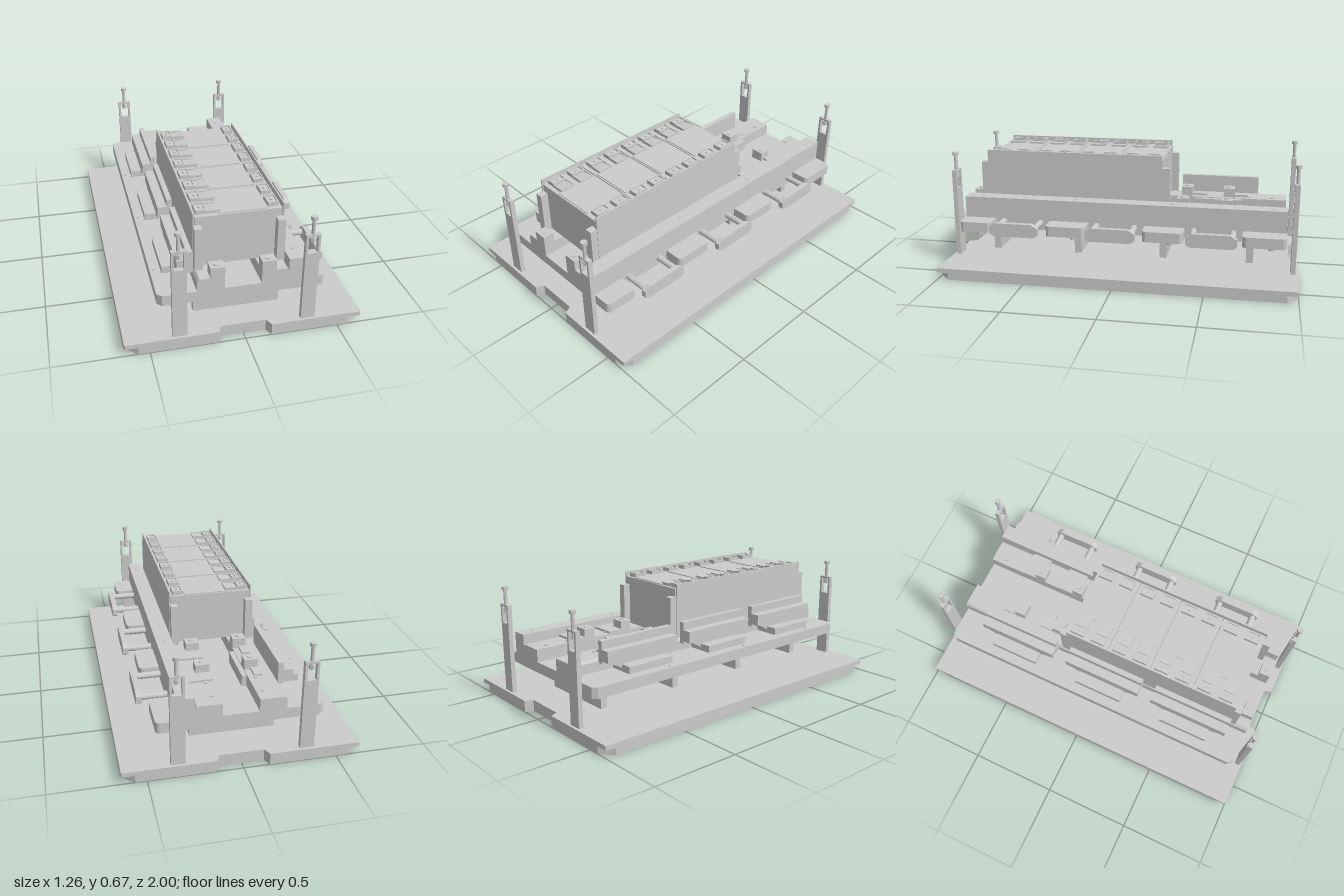
import * as THREE from 'three';

const mat = new THREE.MeshStandardMaterial({ color: 0xcccccc, flatShading: true, side: THREE.DoubleSide });

export function createModel() {
  const model = new THREE.Group();
  const add = (name, geo) => {
    const m = new THREE.Mesh(geo, mat);
    m.name = name;
    model.add(m);
    return m;
  };
  // Box given by its limits on each axis
  const box = (name, x0, x1, y0, y1, z0, z1) => {
    const m = add(name, new THREE.BoxGeometry(x1 - x0, y1 - y0, z1 - z0));
    m.position.set((x0 + x1) / 2, (y0 + y1) / 2, (z0 + z1) / 2);
    return m;
  };
  const shapeOf = (pts) => new THREE.Shape(pts.map(([a, b]) => new THREE.Vector2(a, b)));
  const extrude = (shape, depth) => new THREE.ExtrudeGeometry(shape, { depth, bevelEnabled: false, curveSegments: 8 });
  // Plan outline (x, -z) raised from y0 to y1
  const slab = (name, shape, y0, y1) => {
    const m = add(name, extrude(shape, y1 - y0).rotateX(-Math.PI / 2));
    m.position.y = y0;
    return m;
  };
  const rod = (name, r, h, x, y, z, sides = 16) => {
    const m = add(name, new THREE.CylinderGeometry(r, r, h, sides));
    m.position.set(x, y, z);
    return m;
  };
  const roundRect = (w, h, r) => {
    const s = new THREE.Shape(), a = w / 2, b = h / 2;
    s.moveTo(-a + r, -b).lineTo(a - r, -b);
    s.absarc(a - r, -b + r, r, -Math.PI / 2, 0).absarc(a - r, b - r, r, 0, Math.PI / 2);
    s.absarc(-a + r, b - r, r, Math.PI / 2, Math.PI).absarc(-a + r, -b + r, r, Math.PI, Math.PI * 1.5);
    return s;
  };

  // Base plate: end notches, undercut corners and nut pockets
  const baseShape = (cx, cz) => shapeOf([
    [-0.63 + cx, -1], [-0.14, -1], [-0.12, -0.955], [0.12, -0.955], [0.14, -1], [0.63 - cx, -1], [0.63, -1 + cz],
    [0.63, 1 - cz], [0.63 - cx, 1], [0.14, 1], [0.12, 0.955], [-0.12, 0.955], [-0.14, 1], [-0.63 + cx, 1],
    [-0.63, 1 - cz], [-0.63, -1 + cz]]);
  const lower = baseShape(0.07, 0.06);
  for (const x of [-0.24, 0.24]) for (const z of [-0.66, 0.66]) {
    const hole = new THREE.Path();
    hole.absarc(x, -z, 0.058, 0, Math.PI * 2);
    lower.holes.push(hole);
    rod('baseNut', 0.048, 0.034, x, 0.023, z, 6);
    rod('baseBolt', 0.022, 0.038, x, 0.021, z);
  }
  slab('basePlateLower', lower, 0, 0.04);
  slab('basePlateUpper', baseShape(0.004, 0.004), 0.04, 0.065);

  // Cross ribs carrying the bed
  for (const z of [-0.73, -0.23, 0.28, 0.78]) box('supportRib', -0.235, 0.235, 0.065, 0.225, z - 0.02, z + 0.02);

  // Bed plate and side rail
  slab('bedPlate', shapeOf([[-0.42, -0.93], [0.24, -0.93], [0.24, 0.93], [-0.42, 0.93], [-0.445, 0.905], [-0.445, -0.905]]), 0.225, 0.285);
  box('sideRail', 0.24, 0.33, 0.225, 0.408, -0.93, 0.93);
  for (const [z0, z1] of [[-0.93, -0.69], [-0.365, -0.135], [0.19, 0.42], [0.745, 0.93]]) {
    const pad = slab('railPad', roundRect(0.15, z1 - z0, 0.025), 0.225, 0.285);
    pad.position.set(0.365, 0.225, (z0 + z1) / 2);
  }
  for (const z of [-0.85, -0.29, 0.27, 0.83]) {
    rod('railPin', 0.012, 0.004, 0.285, 0.409, z, 6);
    rod('bedFoot', 0.02, 0.025, 0.38, 0.213, z);
  }
  for (const z of [-0.42, 0.14, 0.69]) rod('bedScrew', 0.01, 0.006, -0.42, 0.287, z, 8);

  // Inner rails with a central channel, clamp towers and cross steps
  for (const s of [-1, 1]) {
    const rail = add('innerRail', extrude(shapeOf([[0.097, 0.285], [0.242, 0.285], [0.242, 0.34], [0.23, 0.355], [0.097, 0.355]]), 1.86));
    if (s < 0) rail.geometry.rotateY(Math.PI);
    rail.position.z = -0.93 * s;
    const x = s * 0.135;
    for (const z of [-0.585, -0.33, 0.9]) {
      box('clampTower', x - 0.038, x + 0.038, 0.35, 0.413, z - 0.035, z + 0.03);
      rod('clampScrew', 0.015, 0.006, x, 0.415, z, 8);
    }
    for (const z of [-0.845, -0.71, -0.45]) rod('railScrew', 0.012, 0.006, x, 0.357, z, 8);
    for (const z of [-0.64, -0.39]) box('railStep', x - 0.04, x + 0.1 * (s > 0) + 0.005, 0.35, 0.368, z - 0.06, z + 0.06);
  }
  box('channelStop', -0.1, -0.07, 0.285, 0.35, -0.67, -0.39);

  // Main housing, split into four modules
  for (let i = 0; i < 4; i++) {
    const z = -0.225 + i * 0.26;
    box('module', -0.228, 0.228, 0.36, 0.645, z + 0.002, z + 0.256);
    box('moduleCap', -0.1, 0.15, 0.645, 0.65, z + 0.01, z + 0.248);
  }
  box('housingBottom', -0.095, 0.095, 0.345, 0.36, -0.2, 0.79);
  for (const s of [-1, 1]) {
    box('sidePanel', s * 0.235 - 0.004, s * 0.235 + 0.004, 0.36, 0.672, -0.22, 0.815);
    const x = s * 0.216;
    box('sideWing', x - 0.021, x + 0.021, 0.36, 0.6, -0.265, 0.855);
  }

  // Contact sockets along both top edges
  const wedge = shapeOf([[-0.165, 0.645], [-0.09, 0.645], [-0.09, 0.66], [-0.165, 0.652]]);
  for (let i = 0; i < 8; i++) {
    const z = -0.163 + Math.floor(i / 2) * 0.26 + (i % 2) * 0.127;
    add('leftWedge', extrude(wedge, 0.076)).position.z = z - 0.038;
    for (const e of [-1, 1]) box('wedgeWall', -0.165, -0.09, 0.645, 0.662, z + e * 0.04 - 0.003, z + e * 0.04 + 0.003);
    for (const [name, x, w] of [['leftSocket', -0.19, 0.056], ['rightSocket', 0.187, 0.058]]) {
      const frame = roundRect(w, 0.084, 0.003);
      frame.holes.push(roundRect(w - 0.014, 0.068, 0.003));
      slab(name, frame, 0.645, 0.668).position.set(x, 0.645, z);
      box('socketCore', x - w / 2 + 0.004, x + w / 2 - 0.004, 0.645, 0.66, z - 0.038, z + 0.038);
      rod('contactPin', 0.007, 0.008, x, 0.663, z, 6);
    }
  }

  // Three side brackets (-x) and three pull handles (+x)
  for (const z of [-0.525, 0.035, 0.588]) {
    box('bracketBack', -0.272, -0.242, 0.33, 0.455, z - 0.235, z + 0.235);
    box('bracketBar', -0.325, -0.27, 0.345, 0.41, z - 0.235, z + 0.235);
    const taper = add('bracketTaper', extrude(shapeOf([[-0.145, 0.285], [0.145, 0.285], [0.145, 0.305], [0.22, 0.345], [-0.22, 0.345], [-0.145, 0.305]]), 0.08));
    taper.rotation.y = -Math.PI / 2;
    taper.position.set(-0.242, 0, z);
    box('bracketFoot', -0.388, -0.25, 0.285, 0.325, z - 0.145, z + 0.145);

    const grip = add('handleGrip', extrude(shapeOf([[-0.14, 0.245], [-0.115, 0.23], [0.115, 0.23], [0.14, 0.245], [0.14, 0.285], [0.105, 0.307], [-0.105, 0.307], [-0.14, 0.285]]), 0.03));
    grip.rotation.y = Math.PI / 2;
    grip.position.set(0.47, 0, z);
    for (const e of [-1, 1]) rod('handleRod', 0.018, 0.15, 0.4, 0.27, z + e * 0.11).rotation.z = Math.PI / 2;
  }

  // Four slotted corner posts with adjusting bolts
  for (const x of [-0.342, 0.338]) for (const z of [-0.972, 0.972]) {
    const post = shapeOf([[-0.038, 0.065], [0.038, 0.065], [0.038, 0.572], [-0.038, 0.572]]);
    post.holes.push(new THREE.Path([[-0.025, 0.465], [-0.025, 0.56], [0.025, 0.56], [0.025, 0.465]].map(([a, b]) => new THREE.Vector2(a, b))));
    add('cornerPost', extrude(post, 0.026)).position.set(x, 0, z - 0.013);
    rod('postBolt', 0.01, 0.13, x, 0.595, z);
    rod('postBoltHead', 0.018, 0.018, x, 0.664, z);
    rod('postNut', 0.016, 0.025, x, 0.54, z, 6);
  }
  return model;
}
